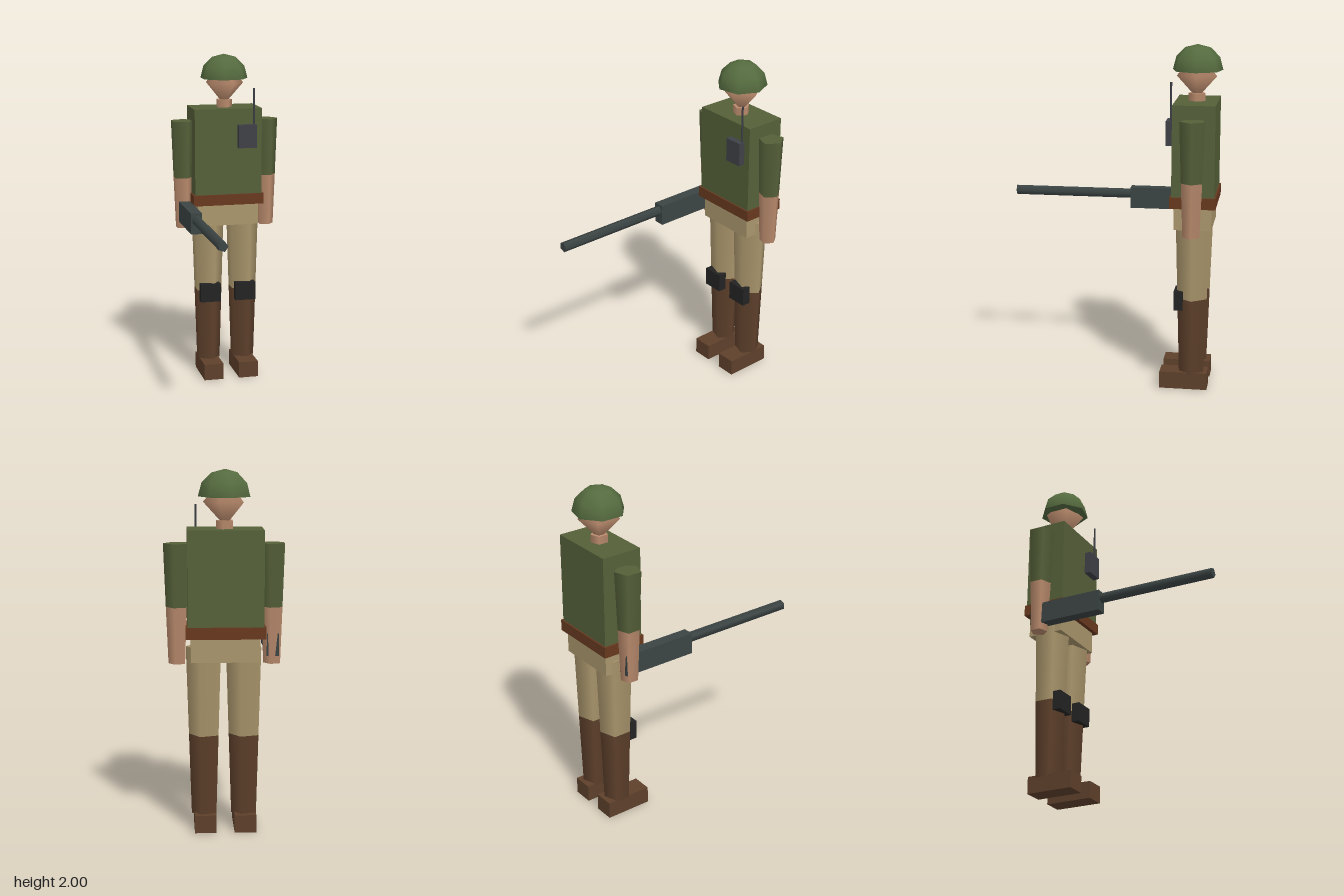
import * as THREE from 'three';

const mat = (name, color) => {
  const m = new THREE.MeshStandardMaterial({ color });
  m.name = name;
  return m;
};

export function createModel() {
  const shirt = mat('shirt green', 0x556039);
  const helmetGreen = mat('helmet green', 0x556b3f);
  const skin = mat('skin', 0xb98a6c);
  const khaki = mat('khaki', 0xaa966c);
  const beltBrown = mat('belt brown', 0x68391f);
  const bootBrown = mat('boot brown', 0x5e402b);
  const gunMetal = mat('gun metal', 0x3c4444);
  const radioGrey = mat('radio grey', 0x3e4147);
  const padBlack = mat('pad black', 0x232323);

  const model = new THREE.Group();
  model.name = 'soldier';
  const CX = -0.01, CZ = -0.485; // body axis

  const add = (name, geo, material, x, y, z) => {
    const mesh = new THREE.Mesh(geo, material);
    mesh.name = name;
    mesh.position.set(x, y, z);
    model.add(mesh);
    return mesh;
  };
  const box = (name, material, x0, x1, y0, y1, z0, z1) =>
    add(name, new THREE.BoxGeometry(x1 - x0, y1 - y0, z1 - z0), material,
      (x0 + x1) / 2, (y0 + y1) / 2, (z0 + z1) / 2);
  // five-sided tapered limb with a corner towards +x
  const limb = (name, material, x, z, y0, y1, r0, r1) =>
    add(name, new THREE.CylinderGeometry(r1, r0, y1 - y0, 5, 1, false, Math.PI / 2), material,
      x, (y0 + y1) / 2, z);

  // trunk
  box('torso', shirt, CX - 0.207, CX + 0.207, 1.14, 1.68, CZ - 0.121, CZ + 0.121);
  box('belt', beltBrown, CX - 0.217, CX + 0.217, 1.093, 1.158, CZ - 0.13, CZ + 0.13);
  box('hips', khaki, CX - 0.188, CX + 0.188, 0.963, 1.1, CZ - 0.107, CZ + 0.107);

  // neck, head and helmet
  limb('neck', skin, CX, CZ, 1.64, 1.725, 0.05, 0.05);
  add('head', new THREE.SphereGeometry(0.12, 5, 2, Math.PI), skin, CX, 1.825, CZ).scale.y = 1.1;
  add('helmet', new THREE.SphereGeometry(0.147, 7, 3, Math.PI, Math.PI * 2, 0, Math.PI / 2),
    helmetGreen, CX, 1.853, CZ);
  add('helmetUnderside', new THREE.CircleGeometry(0.147, 7).rotateX(Math.PI / 2),
    helmetGreen, CX, 1.853, CZ);

  // paired arms and legs
  for (const [side, s] of [['left', 1], ['right', -1]]) {
    const ax = CX + s * 0.26, lx = CX + s * 0.11;
    limb(side + 'Sleeve', shirt, ax, CZ, 1.255, 1.602, 0.0628, 0.076);
    limb(side + 'Forearm', skin, ax, CZ, 0.943, 1.255, 0.05, 0.0628);
    limb(side + 'Thigh', khaki, lx, CZ, 0.545, 1.037, 0.0895, 0.105);
    limb(side + 'BootLeg', bootBrown, lx, CZ, 0.09, 0.545, 0.075, 0.0895);
    box(side + 'Boot', bootBrown, lx - 0.06, lx + 0.06, 0, 0.1, -0.58, -0.302);
    box(side + 'KneePad', padBlack, lx - 0.063, lx + 0.063, 0.48, 0.593, -0.434, -0.381);
  }

  // chest radio with antenna
  box('radio', radioGrey, 0.045, 0.156, 1.444, 1.584, -0.375, -0.325);
  limb('antenna', radioGrey, 0.145, -0.353, 1.56, 1.803, 0.006, 0.006);

  // rifle held in the right hand
  box('rifleBody', gunMetal, -0.303, -0.237, 0.985, 1.11, -0.525, -0.073);
  limb('rifleBarrel', gunMetal, -0.27, 0.264, 0.706, 1.434, 0.03, 0.03);
  const barrel = model.getObjectByName('rifleBarrel');
  barrel.rotation.x = Math.PI / 2;
  return model;
}
